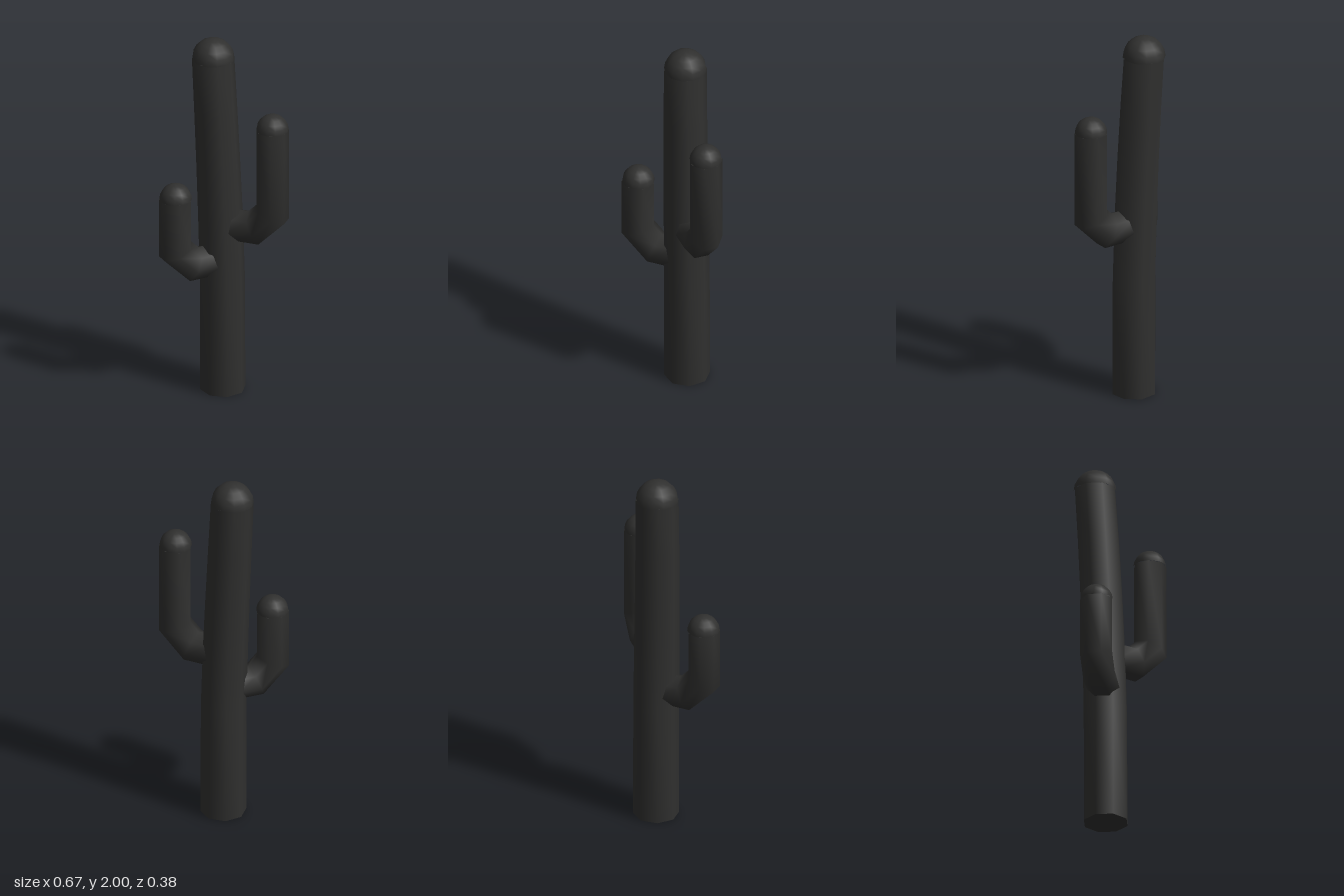
import * as THREE from 'three';

const material = new THREE.MeshStandardMaterial({ color: 0x30302f });

// Skins equal-sided rings of points; both ends closed with flat, separate fans.
function loft(rings) {
  const n = rings[0].length, last = rings.length - 1;
  const pos = rings.flat().flatMap(p => [p.x, p.y, p.z]);
  const index = [];
  for (let i = 0; i < last; i++) {
    for (let j = 0; j < n; j++) {
      const a = i * n + j, b = i * n + (j + 1) % n;
      index.push(a, b, a + n, b, b + n, a + n);
    }
  }
  for (const end of [0, last]) {
    const base = pos.length / 3;
    rings[end].forEach(p => pos.push(p.x, p.y, p.z));
    for (let j = 1; j < n - 1; j++) {
      if (end === 0) index.push(base, base + j + 1, base + j);
      else index.push(base, base + j, base + j + 1);
    }
  }
  const geo = new THREE.BufferGeometry();
  geo.setAttribute('position', new THREE.Float32BufferAttribute(pos, 3));
  geo.setIndex(index);
  geo.computeVertexNormals();
  return geo;
}

function addMesh(parent, name, geometry) {
  const mesh = new THREE.Mesh(geometry, material);
  mesh.name = name;
  parent.add(mesh);
  return mesh;
}

// Rounded tip: the upper half of a sphere
function addTip(parent, name, r, x, y, z) {
  const geo = new THREE.SphereGeometry(r, 12, 5, 0, Math.PI * 2, 0, Math.PI / 2);
  addMesh(parent, name, geo).position.set(x, y, z);
}

// Seven-sided arm: level out of the trunk, 45 degrees at the elbow, then upright
function makeArm(name, angle, startY, topY) {
  const arm = new THREE.Group();
  arm.name = name;
  const sides = 7, r = 0.087, reach = 0.274, bend = 0.097;
  const mitre = 1 / Math.cos(Math.PI / 8);
  const stations = [ // distance out, height, tilt of ring, mitre stretch
    [0.05, startY, 0, 1],
    [reach - bend, startY, Math.PI / 8, mitre],
    [reach, startY + bend, 3 * Math.PI / 8, mitre],
    [reach, topY - 0.085, Math.PI / 2, 1],
  ];
  const rings = stations.map(([d, y, tilt, k]) =>
    Array.from({ length: sides }, (_, j) => {
      const t = j / sides * Math.PI * 2, u = r * k * Math.cos(t);
      return new THREE.Vector3(d - u * Math.sin(tilt), y + u * Math.cos(tilt), r * Math.sin(t));
    }));
  addMesh(arm, name + 'Stem', loft(rings));
  addTip(arm, name + 'Tip', 0.085, reach, topY - 0.085, 0);
  arm.position.set(0.015, 0, -0.035);
  arm.rotation.y = -THREE.MathUtils.degToRad(angle);
  return arm;
}

export function createModel() {
  const cactus = new THREE.Group();
  cactus.name = 'cactus';

  // Eight-sided trunk, leaning gently back and sideways towards the top
  const trunk = [ // height, x, z, radius
    [0, 0.015, -0.035, 0.12],
    [0.65, 0.013, -0.036, 0.119],
    [1.0, 0.004, -0.042, 0.118],
    [1.3, -0.006, -0.05, 0.116],
    [1.6, -0.017, -0.061, 0.114],
    [1.89, -0.028, -0.075, 0.112],
  ];
  const rings = trunk.map(([y, x, z, r]) =>
    Array.from({ length: 8 }, (_, j) => {
      const t = j / 8 * Math.PI * 2;
      return new THREE.Vector3(x + r * Math.sin(t), y, z + r * Math.cos(t));
    }));
  addMesh(cactus, 'trunk', loft(rings));
  addTip(cactus, 'trunkTip', 0.112, -0.028, 1.888, -0.075);

  // Two arms growing out of the trunk axis
  cactus.add(makeArm('leftArm', 30.8, 0.955, 1.62));
  cactus.add(makeArm('rightArm', 164.2, 0.755, 1.235));
  return cactus;
}
